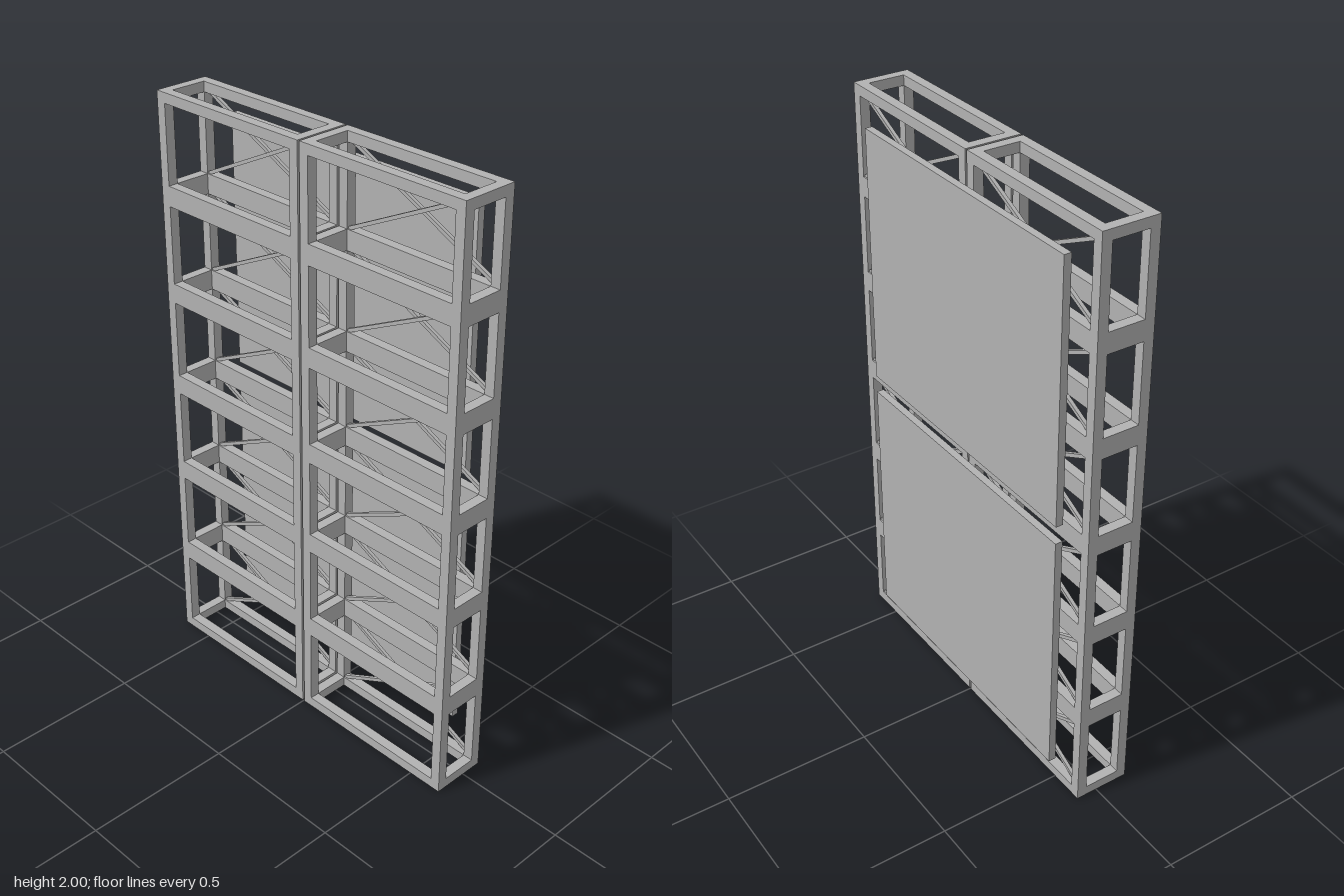
import * as THREE from 'three';

export function createModel() {
  const root = new THREE.Group();
  const grey = new THREE.MeshStandardMaterial({ color: 0xb2b2b2 });
  grey.name = 'grey';

  function box(parent, name, sx, sy, sz, x, y, z) {
    const mesh = new THREE.Mesh(new THREE.BoxGeometry(sx, sy, sz), grey);
    mesh.name = name;
    mesh.position.set(x, y, z);
    parent.add(mesh);
    return mesh;
  }

  const rows = 6, H = 2 / rows;      // module height
  const W = 0.191, L = 0.618;        // module width (x) and length (z)
  const T = 0.034;                   // bar thickness
  const cx = -0.0215, cz = 0.313;    // module centres
  const brace = 0.012;

  // One open box frame with a crossed brace on its panel side
  function frameModule() {
    const g = new THREE.Group();
    g.name = 'frameModule';
    const ex = (W - T) / 2, ey = (H - T) / 2, ez = (L - T) / 2;
    for (const a of [-1, 1]) {
      for (const b of [-1, 1]) {
        box(g, 'post', T, H, T, a * ex, 0, b * ez);
        box(g, 'longRail', T, T, L - 2 * T, a * ex, b * ey, 0);
        box(g, 'crossRail', W - 2 * T, T, T, 0, a * ey, b * ez);
      }
      // Diagonal from corner to corner of the opening
      const h = H - 2 * T, l = L - 2 * T;
      const d = box(g, 'diagonalBrace', brace, brace, Math.hypot(h, l), ex + a * brace / 2, 0, 0);
      d.rotation.x = a * Math.atan2(h, l);
    }
    return g;
  }

  // Two columns of stacked modules
  for (const side of [-1, 1]) {
    const column = new THREE.Group();
    column.name = side > 0 ? 'frontColumn' : 'backColumn';
    for (let i = 0; i < rows; i++) {
      const m = frameModule();
      m.position.set(cx, (i + 0.5) * H, side * cz);
      column.add(m);
    }
    root.add(column);
  }

  // Two flat panels standing off the frame
  box(root, 'lowerPanel', 0.025, 0.87, 1.011, 0.1035, 0.54, -0.0155);
  box(root, 'upperPanel', 0.025, 0.87, 1.011, 0.1035, 1.47, -0.0155);

  return root;
}
